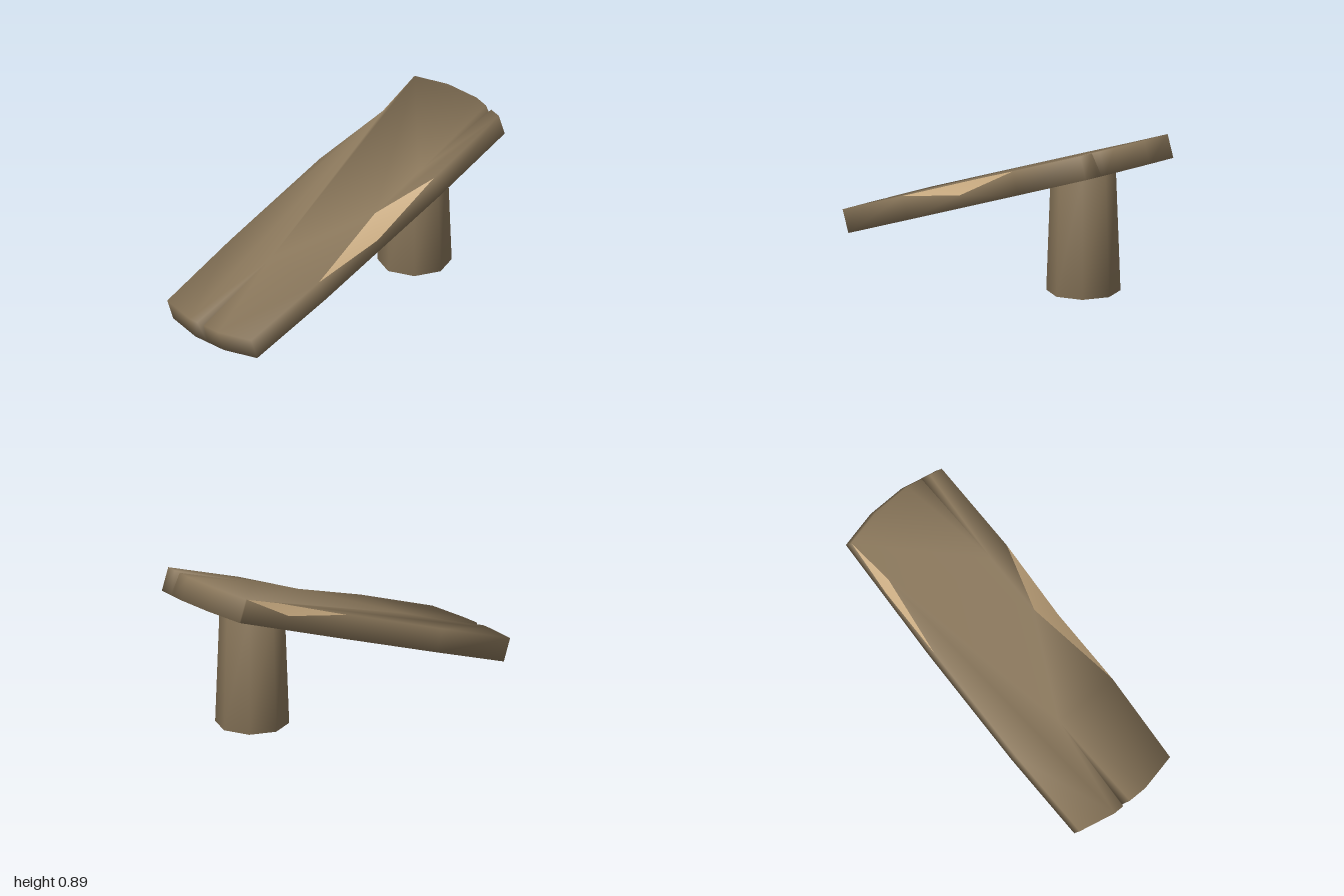
import * as THREE from 'three';
import { mergeVertices } from 'three/addons/utils/BufferGeometryUtils.js';

const T = 0.066; // half thickness of the plank

// Soft normals shared by all faces round a corner, weighted by angle
function soften(geo) {
  const pos = geo.attributes.position, idx = geo.index.array;
  const sums = Array.from({ length: pos.count }, () => new THREE.Vector3());
  for (let i = 0; i < idx.length; i += 3) {
    const ids = [idx[i], idx[i + 1], idx[i + 2]];
    const p = ids.map((k) => new THREE.Vector3().fromBufferAttribute(pos, k));
    const n = p[1].clone().sub(p[0]).cross(p[2].clone().sub(p[0])).normalize();
    ids.forEach((k, j) => {
      const a = p[(j + 1) % 3].clone().sub(p[j]);
      const b = p[(j + 2) % 3].clone().sub(p[j]);
      sums[k].addScaledVector(n, a.angleTo(b));
    });
  }
  const normals = sums.flatMap((n) => n.normalize().toArray());
  geo.setAttribute('normal', new THREE.Float32BufferAttribute(normals, 3));
  return geo;
}

// Plank outline as [along, across]; an entry may start a chip or a split
const RIM = [
  { at: [-1.0375, 0] },
  { at: [-1.0375, 0.11] },
  { at: [-0.993, 0.323] },
  { at: [-0.47, 0.342], chip: { top: [0.087, 0.24], low: [-0.02, 0.002, 0.342] } },
  { at: [0.45, 0.342] },
  { at: [0.993, 0.323] },
  { at: [1.008, 0.25], split: { tip: [0.45, 0.23], foot: [1.013, 0.225] } },
  { at: [1.018, 0.2] },
  { at: [1.0375, 0.11] },
  { at: [1.0375, -0.11] },
  { at: [0.993, -0.323] },
  { at: [0.985, -0.324], chip: { top: [0.715, -0.288], low: [0.66, 0.012, -0.333] } },
  { at: [0.25, -0.342] },
  { at: [-0.47, -0.342] },
  { at: [-0.993, -0.323] },
  { at: [-1.0375, -0.11] },
  { at: [-1.0375, -0.05], split: { tip: [-0.465, -0.035], foot: [-1.0375, -0.015] } },
];

function plankGeometries() {
  const verts = [], faces = [], chipFaces = [], chipVerts = [];
  const add = (x, y, z) => verts.push([x, y, z]) - 1;
  const tops = RIM.map(({ at }) => add(at[0], T, at[1]));
  const bottoms = RIM.map(({ at }) => add(at[0], -T, at[1]));
  const topLoop = [], bottomLoop = [];

  // Sides, with the chips and splits cut into the upper edge
  RIM.forEach(({ chip, split }, i) => {
    const j = (i + 1) % RIM.length;
    const t0 = tops[i], t1 = tops[j], b0 = bottoms[i], b1 = bottoms[j];
    topLoop.push(t0);
    bottomLoop.push(b0);
    if (chip) {
      const apex = add(chip.top[0], T, chip.top[1]);
      const low = add(...chip.low);
      topLoop.push(apex);
      faces.push(b0, b1, low, b0, low, t0, b1, t1, low);
      const n = chipVerts.length;
      chipVerts.push(verts[t0], verts[low], verts[t1], verts[apex]);
      chipFaces.push(n, n + 1, n + 3, n + 1, n + 2, n + 3);
    } else if (split) {
      const tip = add(split.tip[0], T, split.tip[1]);
      const foot = add(split.foot[0], -T, split.foot[1]);
      topLoop.push(tip);
      bottomLoop.push(foot);
      faces.push(b0, foot, t0, foot, b1, t1, t0, foot, tip, foot, t1, tip);
    } else {
      faces.push(b0, b1, t1, b0, t1, t0);
    }
  });

  // Upper and lower faces
  const fill = (loop, flip) => {
    const contour = loop.map((k) => new THREE.Vector2(verts[k][0], -verts[k][2]));
    for (const [a, b, c] of THREE.ShapeUtils.triangulateShape(contour, [])) {
      faces.push(loop[a], loop[flip ? c : b], loop[flip ? b : c]);
    }
  };
  fill(topLoop, false);
  fill(bottomLoop, true);

  const build = (points, index) => {
    const geo = new THREE.BufferGeometry();
    geo.setAttribute('position', new THREE.Float32BufferAttribute(points.flat(), 3));
    geo.setIndex(index);
    return soften(geo);
  };
  return { body: build(verts, faces), chips: build(chipVerts, chipFaces) };
}

export function createModel() {
  const group = new THREE.Group();
  const wood = new THREE.MeshStandardMaterial({ color: 0x89765a });
  wood.name = 'weathered wood';
  const fresh = new THREE.MeshStandardMaterial({ color: 0xc8aa80 });
  fresh.name = 'fresh wood';

  const mesh = (name, geo, mat, parent) => {
    const m = new THREE.Mesh(geo, mat);
    m.name = name;
    parent.add(m);
    return m;
  };

  // Sloping plank
  const plank = new THREE.Group();
  plank.name = 'plank';
  plank.position.set(0, 0.473, 0);
  plank.rotation.z = THREE.MathUtils.degToRad(20);
  group.add(plank);
  const { body, chips } = plankGeometries();
  mesh('plankBody', body, wood, plank);
  mesh('plankChips', chips, fresh, plank);

  // Upright log under the raised end, with pale sawn ends
  const height = 0.682;
  const logGeo = new THREE.CylinderGeometry(0.175, 0.2, height, 8);
  logGeo.deleteAttribute('normal');
  logGeo.deleteAttribute('uv');
  const roundLog = mergeVertices(logGeo);
  roundLog.computeVertexNormals();
  const log = mesh('supportLog', roundLog, [wood, fresh, fresh], group);
  log.position.set(0.592, height / 2, 0);

  return group;
}
